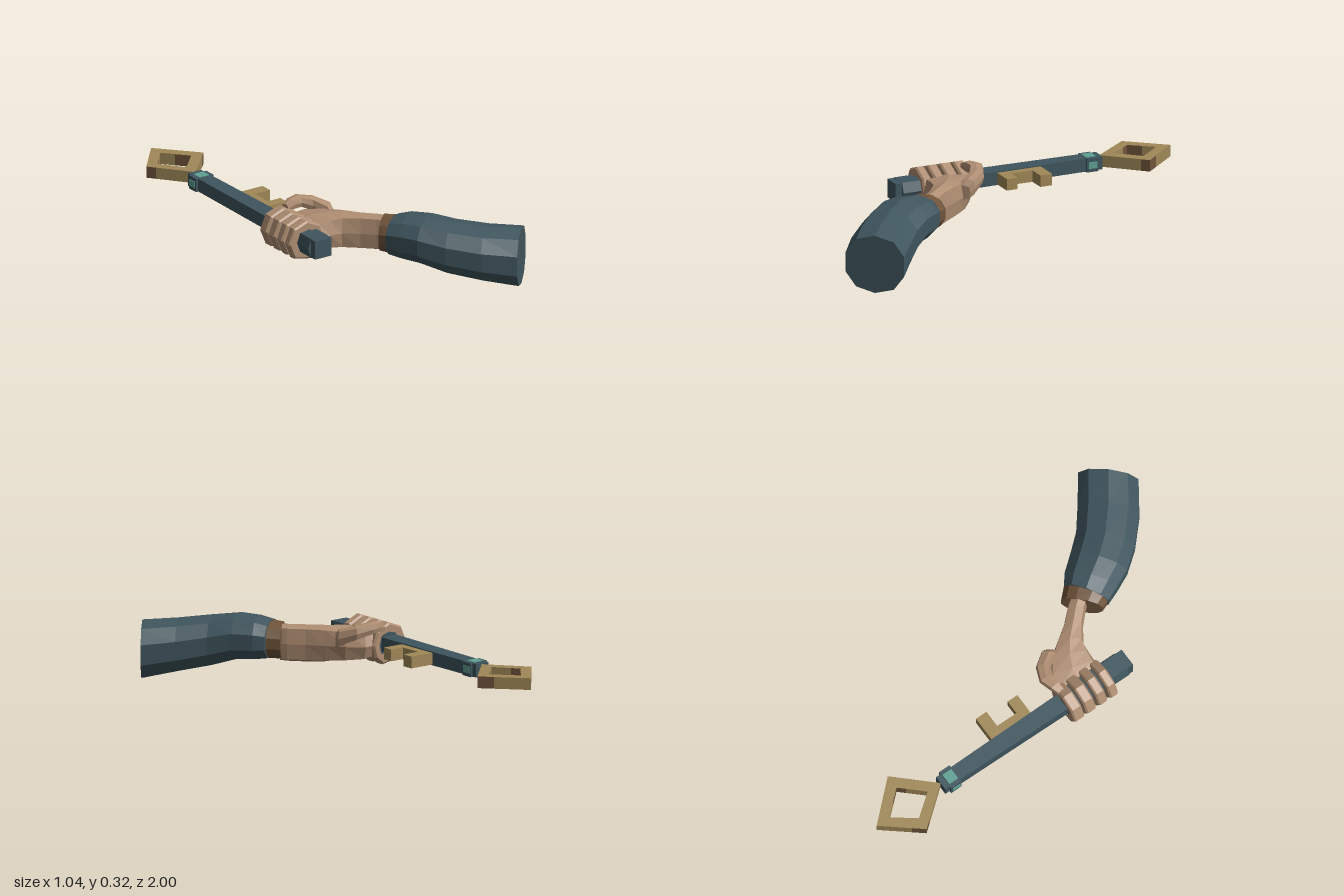
import * as THREE from 'three';

const mat = (name, color) => {
  const m = new THREE.MeshStandardMaterial({ color, flatShading: true });
  m.name = name;
  return m;
};

// Closed loft through upright sections [ax, az, bx, bz, yLow, yHigh];
// "square" below 1 makes the outline boxier.
function loft(sections, sides, square = 1, twist = 0) {
  const pos = [], idx = [];
  const bend = (v) => Math.sign(v) * Math.pow(Math.abs(v), square);
  for (const [ax, az, bx, bz, lo, hi] of sections) {
    for (let j = 0; j < sides; j++) {
      const t = ((j + twist) / sides) * Math.PI * 2;
      const c = bend(Math.cos(t)) / 2, s = bend(Math.sin(t)) / 2;
      pos.push((ax + bx) / 2 + (bx - ax) * c, (lo + hi) / 2 + (hi - lo) * s, (az + bz) / 2 + (bz - az) * c);
    }
  }
  const last = (sections.length - 1) * sides;
  for (let i = 0; i < last; i += sides) {
    for (let j = 0; j < sides; j++) {
      const k = (j + 1) % sides;
      idx.push(i + j, i + k, i + sides + k, i + j, i + sides + k, i + sides + j);
    }
  }
  for (let j = 1; j < sides - 1; j++) {
    idx.push(0, j + 1, j, last, last + j, last + j + 1);
  }
  const g = new THREE.BufferGeometry();
  g.setAttribute('position', new THREE.Float32BufferAttribute(pos, 3));
  g.setIndex(idx);
  const flat = g.toNonIndexed();
  flat.computeVertexNormals();
  return flat;
}

const points = (list) => list.map(([x, y]) => new THREE.Vector2(x, y));

// Horizontal plate from an [x, z] outline
function plate(outline, y, height) {
  const shape = new THREE.Shape(points(outline.map(([x, z]) => [x, -z])));
  const g = new THREE.ExtrudeGeometry(shape, { depth: height, bevelEnabled: false });
  return g.rotateX(-Math.PI / 2).translate(0, y, 0);
}

// Point at depth z on the line between two [x, z] points
const at = (p, q, z) => [p[0] + ((q[0] - p[0]) * (z - p[1])) / (q[1] - p[1]), z];

export function createModel() {
  const root = new THREE.Group();
  root.name = 'handWithKey';
  const cloth = mat('sleeve slate', 0x40565e);
  const metal = mat('shaft slate', 0x3f555e);
  const skin = mat('skin', 0xb08f73);
  const brown = mat('dark brown', 0x6f543b);
  const gold = mat('old gold', 0xa08958);
  const teal = mat('teal', 0x5fa094);

  const add = (name, geometry, material, parent = root) => {
    const m = new THREE.Mesh(geometry, material);
    m.name = name;
    parent.add(m);
    return m;
  };
  const box = (name, w, h, d, x, y, z, material, parent) =>
    add(name, new THREE.BoxGeometry(w, h, d).translate(x, y, z), material, parent);

  // Sleeve and its lining
  add('sleeve', loft([
    [-0.095, 0.53, 0.095, 0.40, 0.112, 0.297],
    [-0.065, 0.605, 0.14, 0.435, 0.102, 0.313],
    [-0.025, 0.69, 0.205, 0.515, 0.096, 0.318],
    [0.06, 0.795, 0.28, 0.60, 0.06, 0.303],
    [0.185, 0.91, 0.395, 0.69, 0.03, 0.287],
    [0.325, 1.005, 0.525, 0.785, 0.0, 0.28],
  ], 10, 0.9, 0.5), cloth);
  add('cuffLining', loft([
    [-0.105, 0.488, 0.042, 0.348, 0.118, 0.287],
    [-0.09, 0.53, 0.09, 0.398, 0.116, 0.292],
  ], 12, 0.9, 0.5), brown);

  // Wrist and palm
  add('palm', loft([
    [0.015, 0.385, -0.04, 0.445, 0.11, 0.285],
    [-0.005, 0.355, -0.065, 0.415, 0.108, 0.285],
    [-0.065, 0.29, -0.12, 0.362, 0.107, 0.285],
    [-0.12, 0.21, -0.19, 0.315, 0.11, 0.285],
    [-0.175, 0.13, -0.25, 0.31, 0.118, 0.28],
    [-0.25, 0.07, -0.305, 0.308, 0.125, 0.272],
    [-0.325, 0.065, -0.325, 0.30, 0.14, 0.262],
  ], 8, 0.55, 0), skin);

  // Thumb arching over the shaft
  add('thumb', loft([
    [-0.125, 0.145, -0.17, 0.20, 0.19, 0.26],
    [-0.125, 0.12, -0.178, 0.17, 0.205, 0.287],
    [-0.178, 0.05, -0.215, 0.112, 0.24, 0.308],
    [-0.255, 0.018, -0.26, 0.088, 0.265, 0.319],
    [-0.315, 0.038, -0.31, 0.09, 0.265, 0.318],
    [-0.35, 0.055, -0.345, 0.095, 0.258, 0.302],
  ], 8, 0.6, 0), skin);

  // Four fingers curled around the grip
  const fingers = new THREE.Group();
  fingers.name = 'fingers';
  root.add(fingers);
  const outer = [[-0.483, 0.2], [-0.452, 0.273], [-0.38, 0.3], [-0.307, 0.266],
    [-0.285, 0.2], [-0.30, 0.139], [-0.343, 0.104], [-0.452, 0.125]];
  const inner = [[-0.443, 0.2], [-0.424, 0.253], [-0.375, 0.266], [-0.328, 0.25],
    [-0.312, 0.2], [-0.322, 0.155], [-0.355, 0.14], [-0.426, 0.149]];
  [[0.058, 0.115], [0.127, 0.182], [0.197, 0.246], [0.262, 0.308]].forEach(([z0, z1], i) => {
    const shape = new THREE.Shape(points(outer));
    shape.holes.push(new THREE.Path(points(inner)));
    const b = 0.008;
    const g = new THREE.ExtrudeGeometry(shape, {
      depth: z1 - z0 - 2 * b, bevelThickness: b, bevelSize: b, bevelOffset: -b, bevelSegments: 1,
    }).translate(0, 0, z0 + b);
    add('finger' + (i + 1), g, skin, fingers);
  });

  // Key: shaft, grip, collar, bow and teeth
  const key = new THREE.Group();
  key.name = 'key';
  root.add(key);
  const kx = -0.376, ky = 0.203;
  add('shaft', loft([
    [kx - 0.037, -0.635, kx + 0.037, -0.635, 0.172, 0.235],
    [kx - 0.044, 0.10, kx + 0.044, 0.10, 0.17, 0.237],
  ], 4, 0.001, 0.5), metal, key);

  const hex = new THREE.Shape(points([[0.063, 0], [0.046, 0.047], [-0.046, 0.047],
    [-0.063, 0], [-0.046, -0.047], [0.046, -0.047]]));
  add('grip', new THREE.ExtrudeGeometry(hex, { depth: 0.34, bevelEnabled: false })
    .translate(kx, ky, 0.06), metal, key);
  box('pommel', 0.092, 0.09, 0.04, kx, ky, 0.413, metal, key);

  box('collar', 0.098, 0.066, 0.06, kx, ky, -0.58, metal, key);
  for (const s of [-1, 1]) {
    box('collarSideInlay', 0.005, 0.032, 0.044, kx + s * 0.05, ky, -0.58, teal, key);
    box('collarFaceInlay', 0.056, 0.004, 0.05, kx, ky + s * 0.034, -0.58, teal, key);
  }

  // Diamond bow: gold front and back, dark edges around the two side tips
  const [L, F, R, B] = [[-0.522, -0.82], [-0.373, -0.635], [-0.203, -0.815], [-0.373, -1.0]];
  const [l, f, r, b] = [[-0.457, -0.818], [-0.373, -0.708], [-0.273, -0.815], [-0.373, -0.927]];
  const zf = -0.783, zb = -0.873;
  const bow = (name, outline, material) => add(name, plate(outline, 0.175, 0.056), material, key);
  for (const [name, T, t, z] of [['bowFront', F, f, zf], ['bowBack', B, b, zb]]) {
    bow(name, [at(L, T, z), T, at(T, R, z), at(t, r, z), t, at(l, t, z)], gold);
  }
  for (const [name, T, t] of [['bowLeftTip', R, r], ['bowRightTip', L, l]]) {
    bow(name, [at(F, T, zf), T, at(T, B, zb), at(t, b, zb), t, at(f, t, zf)], [gold, brown]);
  }

  add('teeth', plate(
    [[-0.345, -0.315], [-0.21, -0.315], [-0.21, -0.255], [-0.296, -0.255], [-0.296, -0.145],
      [-0.226, -0.145], [-0.226, -0.09], [-0.345, -0.09]], 0.175, 0.056), gold, key);

  return root;
}
